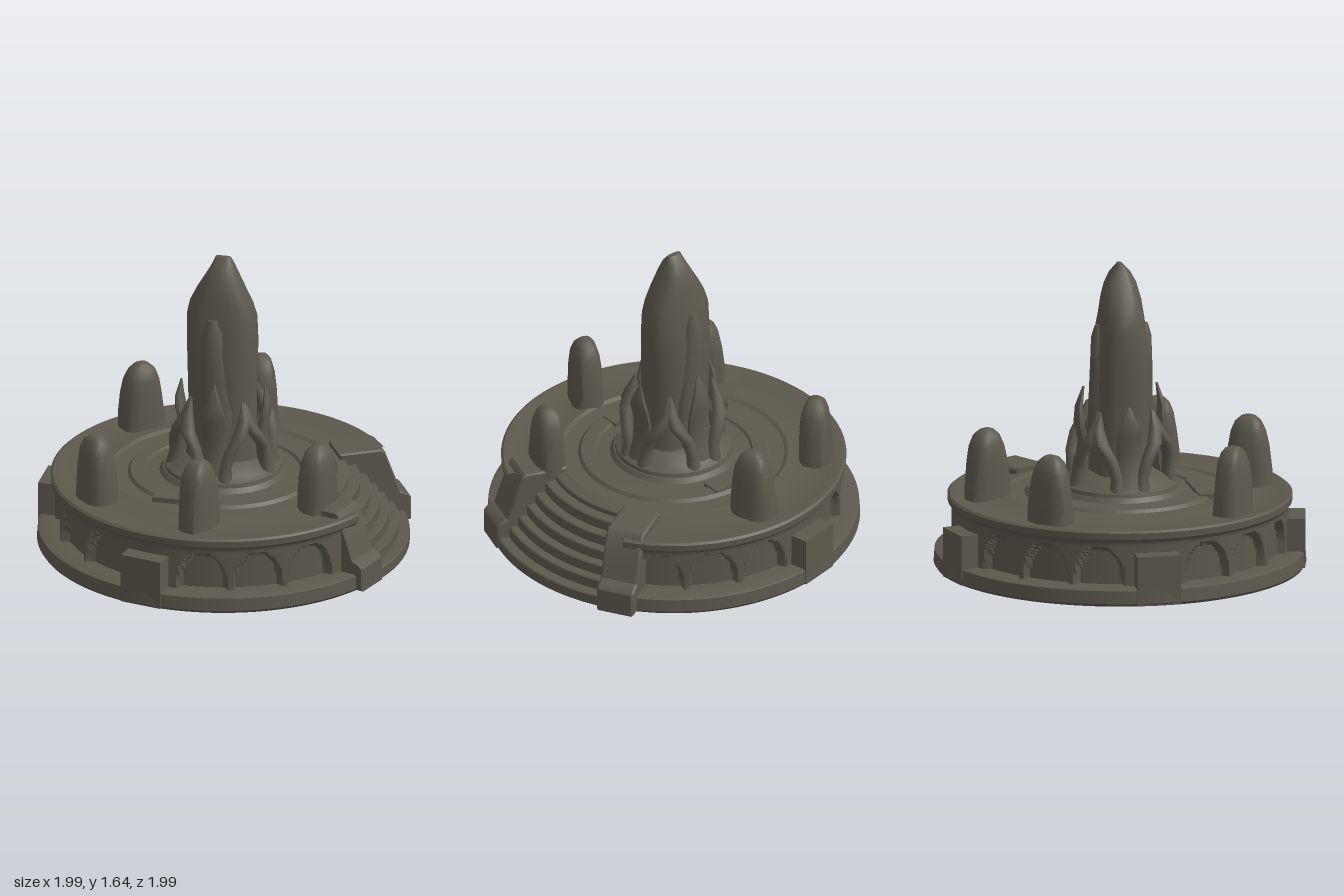
import * as THREE from 'three';
import { toCreasedNormals } from 'three/addons/utils/BufferGeometryUtils.js';

const stone = new THREE.MeshStandardMaterial({ color: 0x5c584d });
stone.name = 'dark stone';
const RAD = Math.PI / 180;

function mesh(name, geo, crease = 0.7) {
  const m = new THREE.Mesh(toCreasedNormals(geo, crease), stone);
  m.name = name;
  return m;
}

// Closed skin over rows of rings; at(row, t) gives [x, y, z]
function loft(rows, sides, at) {
  const pos = [], idx = [];
  for (let j = 0; j < rows; j++)
    for (let i = 0; i < sides; i++) pos.push(...at(j, (i / sides) * Math.PI * 2));
  for (let j = 0; j < rows - 1; j++)
    for (let i = 0; i < sides; i++) {
      const n = (i + 1) % sides;
      const a = j * sides + i, b = j * sides + n, c = a + sides, d = b + sides;
      idx.push(a, c, b, b, c, d);
    }
  const top = (rows - 1) * sides;
  for (let i = 1; i < sides - 1; i++) {
    idx.push(0, i, i + 1);
    idx.push(top, top + i + 1, top + i);
  }
  const g = new THREE.BufferGeometry();
  g.setAttribute('position', new THREE.Float32BufferAttribute(pos, 3));
  g.setIndex(idx);
  return g;
}

function lathe(points, startDeg, lengthDeg, segments) {
  return new THREE.LatheGeometry(points.map(p => new THREE.Vector2(...p)), segments,
    startDeg * RAD, lengthDeg * RAD);
}

// Rounded-box version of cos / sin
const soft = (v, p) => Math.sign(v) * Math.pow(Math.abs(v), p);

// Floor rings, from the rim inwards
const floorRings = [[0.61, 0.405], [0.59, 0.393], [0.51, 0.393], [0.495, 0.41],
  [0.42, 0.412], [0.41, 0.4], [0.34, 0.405], [0.32, 0.43], [0, 0.44]];

// Drum wall with shallow arched niches between the piers
const pierAngles = [103, 180, 257];
const archAngles = [];
for (let k = -3; k <= 7; k++) if (k !== 0 && k !== 4) archAngles.push(103 + k * 19.25);
archAngles.push(276, 295, 314);

function drum() {
  const p = [[0, 0], [0.985, 0], [0.995, 0.015], [0.99, 0.085], [0.975, 0.092], [0.9, 0.092]];
  for (let i = 1; i <= 14; i++) p.push([0.9, 0.092 + i * 0.0165]);
  p.push([0.905, 0.335], [0.92, 0.35], [0.922, 0.385], [0.91, 0.395], [0.86, 0.392], [0.84, 0.386], [0.7, 0.39]);
  p.push(...floorRings);
  const g = lathe(p, 124, 301, 320), a = g.attributes.position;
  for (let i = 0; i < a.count; i++) {
    const x = a.getX(i), y = a.getY(i), z = a.getZ(i), r = Math.hypot(x, z);
    if (y < 0.091 || y > 0.325 || r < 0.88 || r > 0.902) continue;
    const ang = (Math.atan2(z, x) / RAD + 360) % 360;
    for (const c of archAngles) {
      const u = Math.abs(((ang - c + 540) % 360) - 180) / 8.6;
      const v = (y - 0.09) / 0.215;
      const inside = 1 - u * u - Math.pow(v, 2.4);
      if (inside > 0) {
        const s = (r - Math.min(0.045, inside * 0.25)) / r;
        a.setXYZ(i, x * s, y, z * s);
      }
    }
  }
  return mesh('drum', g, 0.5);
}

// Curved steps filling the gap in the drum
function stairs() {
  const p = [[0, 0], [0.995, 0]];
  const radii = [0.995, 0.935, 0.885, 0.835, 0.785, 0.73, 0.67];
  radii.forEach((r, i) => {
    const y = Math.min(0.06 * (i + 1), 0.39);
    p.push([r, y - 0.006], [r - 0.006, y]);
    if (i < 6) p.push([radii[i + 1], y]);
  });
  p.push(...floorRings);
  return mesh('stairs', lathe(p, 65, 59, 40), 0.5);
}

// Sloping side wall of the stairs, placed by its outer end
function cheek(x, z, angle) {
  const s = new THREE.Shape();
  [[-0.4, 0], [0, 0], [0, 0.13], [-0.015, 0.15], [-0.06, 0.17], [-0.09, 0.26], [-0.145, 0.41],
    [-0.165, 0.425], [-0.4, 0.425]].forEach((p, i) => (i ? s.lineTo(...p) : s.moveTo(...p)));
  const g = new THREE.ExtrudeGeometry(s, { depth: 0.19, bevelEnabled: true, bevelSize: 0.008,
    bevelThickness: 0.01, bevelOffset: -0.008, bevelSegments: 1 });
  g.translate(0, 0, -0.095);
  const m = mesh('stairSideWall', g, 0.6);
  m.position.set(x, 0, z);
  m.rotation.y = -angle * RAD;
  return m;
}

// Rounded standing stone; long side runs along the given angle
function standingStone(x, z, angle, height, seed) {
  const rows = [[0, 0.125, 0.088], [0.08, 0.124, 0.084], [0.2, 0.11, 0.08], [0.28, 0.094, 0.072],
    [0.335, 0.07, 0.056], [0.362, 0.04, 0.034], [0.37, 0.015, 0.012]];
  const g = loft(rows.length, 14, (j, t) => {
    const [y, a, b] = rows[j];
    const w = 1 + 0.04 * Math.sin(3 * t + seed + j * 0.8);
    return [soft(Math.cos(t), 0.7) * a * w, y * height / 0.37, soft(Math.sin(t), 0.7) * b * w];
  });
  const m = mesh('standingStone', g);
  m.position.set(x, 0.385, z);
  m.rotation.y = -angle * RAD;
  return m;
}

// Central monolith: [y, half width x, half depth z, centre x]
function monolith() {
  const rows = [[0.42, 0.2, 0.17, 0], [0.7, 0.18, 0.145, 0], [0.95, 0.184, 0.15, -0.005],
    [1.15, 0.19, 0.145, -0.008], [1.3, 0.188, 0.128, -0.01], [1.38, 0.168, 0.115, -0.01],
    [1.46, 0.13, 0.105, -0.01], [1.54, 0.09, 0.085, -0.005], [1.6, 0.062, 0.055, 0], [1.645, 0.042, 0.014, 0]];
  const g = loft(rows.length, 20, (j, t) => {
    const [y, a, b, cx] = rows[j];
    const w = 1 + 0.025 * Math.sin(5 * t + j * 0.9);
    return [cx + soft(Math.cos(t), 0.8) * a * w, y, soft(Math.sin(t), 0.8) * b * w];
  });
  return mesh('monolith', g);
}

// Leaf-like blade; rows are [radius, y, half width, half thickness, sideways shift]
function blade(name, angle, rows, side = 1) {
  const g = loft(rows.length, 10, (j, t) => {
    const [r, y, w, th, s = 0] = rows[j];
    return [r + th * Math.cos(t), y, s * side + w * Math.sin(t)];
  });
  const m = mesh(name, g, 0.9);
  m.rotation.y = -angle * RAD;
  return m;
}

export function createModel() {
  const model = new THREE.Group();
  model.name = 'monument';
  model.add(drum(), stairs(), cheek(0.92, 0.42, 18), cheek(0.865, -0.57, -30));

  // Square piers around the wall
  for (const a of pierAngles) {
    const pier = mesh('pier', new THREE.BoxGeometry(0.14, 0.27, 0.235));
    pier.position.set(0.92 * Math.cos(a * RAD), 0.137, 0.92 * Math.sin(a * RAD));
    pier.rotation.y = -a * RAD;
    model.add(pier);
  }

  // Floor slabs in front of and behind the monolith
  for (const s of [-1, 1]) {
    const slab = mesh('floorSlab', new THREE.BoxGeometry(0.37, 0.04, 0.11));
    slab.position.set(-0.09, 0.4, s * 0.43);
    model.add(slab);
  }

  // Standing stones
  [[0.035, -0.72, 68, 0.385], [-0.57, -0.5, -42, 0.37], [-0.58, 0.49, 40, 0.37],
    [0.035, 0.71, -68, 0.385], [0.6, 0.33, -70, 0.37]]
    .forEach(([x, z, a, h], i) => model.add(standingStone(x, z, a, h, i * 1.7)));

  // Monolith with a foot ring and two shoulder slabs
  model.add(monolith());
  model.add(mesh('footRing', lathe([[0.32, 0.41], [0.31, 0.45], [0.27, 0.47], [0.24, 0.5], [0.17, 0.52]], 0, 360, 28)));
  for (const a of [90, 270]) {
    const side = a === 90 ? 1 : -1;
    model.add(blade('shoulderSlab', a, [[0.12, 0.45, 0.09, 0.05], [0.125, 0.8, 0.085, 0.05],
      [0.125, 1.1, 0.07, 0.045, 0.03 * side], [0.125, 1.25, 0.055, 0.04, 0.03 * side],
      [0.12, 1.32, 0.025, 0.025, 0.03 * side]]));
  }

  // Four large leaves
  for (const a of [90, 270])
    model.add(blade('leaf', a, [[0.235, 0.42, 0.09, 0.05], [0.21, 0.55, 0.07, 0.035], [0.2, 0.68, 0.06, 0.03],
      [0.225, 0.78, 0.07, 0.025], [0.225, 0.87, 0.045, 0.02], [0.2, 0.98, 0.004, 0.006]]));
  for (const a of [0, 180])
    model.add(blade('leaf', a, [[0.25, 0.42, 0.1, 0.05], [0.22, 0.55, 0.07, 0.035], [0.21, 0.66, 0.065, 0.03],
      [0.235, 0.76, 0.075, 0.025], [0.24, 0.82, 0.05, 0.022], [0.23, 0.91, 0.004, 0.005]]));

  // Eight curling tendrils in mirrored pairs
  for (const a of [0, 90, 180, 270])
    for (const side of [-1, 1])
      model.add(blade('tendril', a, [[0.26, 0.42, 0.045, 0.045, 0.07], [0.245, 0.52, 0.032, 0.035, 0.07],
        [0.24, 0.62, 0.035, 0.035, 0.1], [0.21, 0.7, 0.04, 0.035, 0.145], [0.17, 0.78, 0.032, 0.028, 0.155],
        [0.15, 0.87, 0.005, 0.005, 0.14]], side));

  return model;
}
